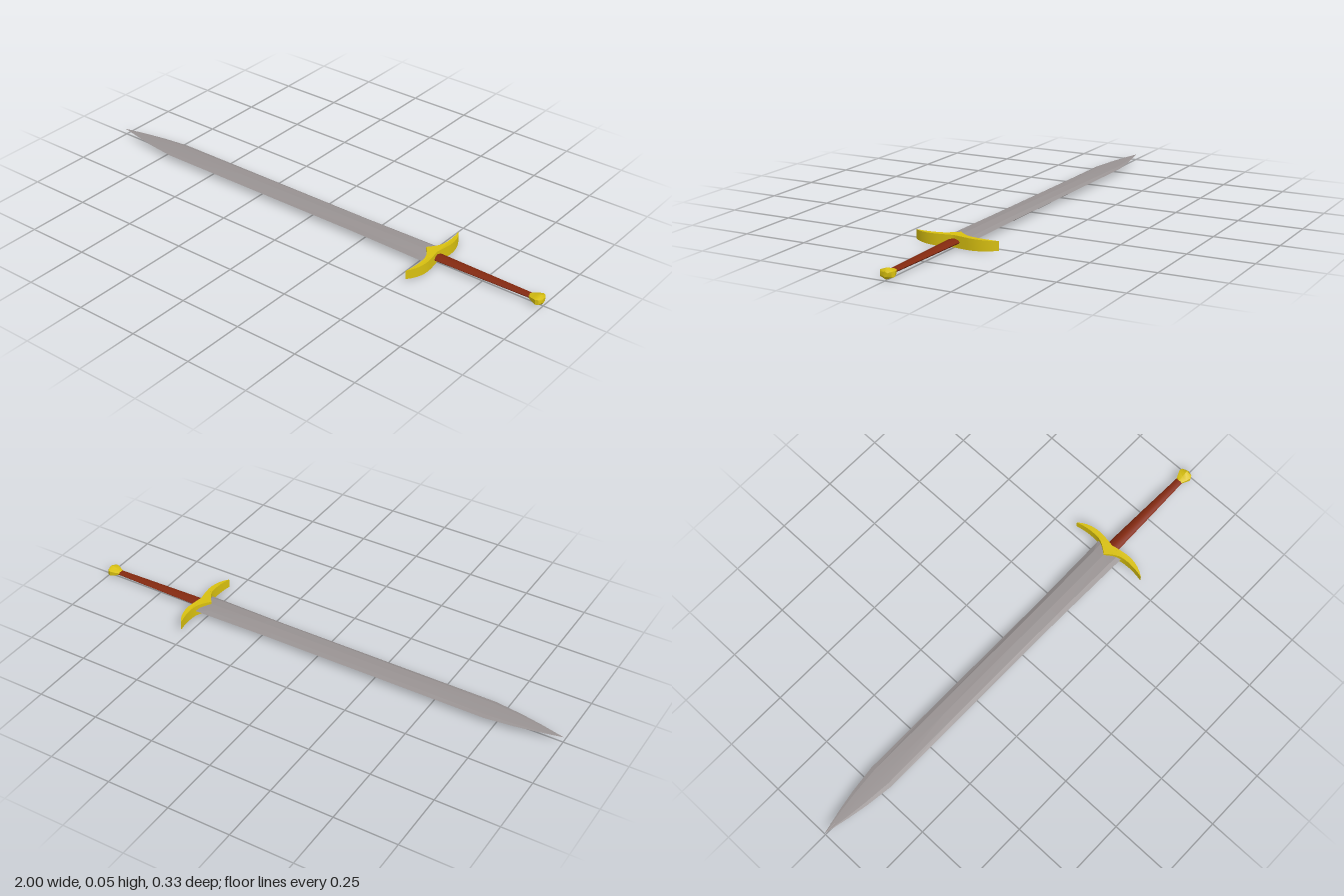
import * as THREE from 'three';
import { toCreasedNormals } from 'three/addons/utils/BufferGeometryUtils.js';

const MID = 0.024; // height of the sword's long axis

// Skins a closed unit profile [z, y] through sections [x, halfWidth, halfHeight]
function loft(profile, sections, crease) {
  const n = profile.length, pos = [];
  const P = (i, j) => {
    const [x, w, h] = sections[i], [z, y] = profile[j % n];
    return [x, MID + y * h, z * w];
  };
  for (let i = 0; i < sections.length - 1; i++) {
    for (let j = 0; j < n; j++) {
      const a = P(i, j), b = P(i + 1, j), c = P(i + 1, j + 1), d = P(i, j + 1);
      pos.push(...a, ...b, ...c, ...a, ...c, ...d);
    }
  }
  const last = sections.length - 1;
  for (let j = 0; j < n; j++) {
    pos.push(sections[0][0], MID, 0, ...P(0, j), ...P(0, j + 1));
    pos.push(sections[last][0], MID, 0, ...P(last, j + 1), ...P(last, j));
  }
  const g = new THREE.BufferGeometry();
  g.setAttribute('position', new THREE.Float32BufferAttribute(pos, 3));
  return toCreasedNormals(g, crease);
}

// Regular polygon profile
function ring(sides, turn = 0) {
  return Array.from({ length: sides }, (_, i) => {
    const a = turn + (i / sides) * Math.PI * 2;
    return [Math.cos(a), Math.sin(a)];
  });
}

export function createModel() {
  const sword = new THREE.Group();
  sword.name = 'sword';
  const steel = new THREE.MeshStandardMaterial({ color: 0x999393 });
  const gold = new THREE.MeshStandardMaterial({ color: 0xd8c010 });
  const leather = new THREE.MeshStandardMaterial({ color: 0x84290f });

  const add = (name, geometry, material) => {
    const mesh = new THREE.Mesh(geometry, material);
    mesh.name = name;
    sword.add(mesh);
  };

  // Blade: sharp edges, bevels and a low central ridge, thinning to the tip
  const bladeProfile = [
    [1, 0], [0.7, 0.74], [0, 1], [-0.7, 0.74],
    [-1, 0], [-0.7, -0.74], [0, -1], [0.7, -0.74],
  ];
  add('blade', loft(bladeProfile, [
    [-1, 0.0005, 0.0003], [-0.9, 0.023, 0.002], [-0.82, 0.038, 0.004], [-0.71, 0.052, 0.006],
    [-0.38, 0.052, 0.010], [0.2, 0.052, 0.0135], [0.49, 0.057, 0.0135], [0.54, 0.058, 0.008],
  ], 0.12), steel);

  // Guard: two curved arms meeting in a point over the blade
  const outline = new THREE.Shape();
  outline.moveTo(0.533, -0.167);
  outline.quadraticCurveTo(0.566, -0.125, 0.564, -0.07);
  outline.quadraticCurveTo(0.560, -0.03, 0.553, 0);
  outline.quadraticCurveTo(0.560, 0.03, 0.564, 0.07);
  outline.quadraticCurveTo(0.566, 0.125, 0.533, 0.167);
  outline.quadraticCurveTo(0.548, 0.11, 0.541, 0.06);
  outline.quadraticCurveTo(0.533, 0.03, 0.504, 0);
  outline.quadraticCurveTo(0.533, -0.03, 0.541, -0.06);
  outline.quadraticCurveTo(0.548, -0.11, 0.533, -0.167);
  const guard = new THREE.ExtrudeGeometry(outline, { depth: 2, bevelEnabled: false, curveSegments: 5 });
  guard.translate(0, 0, -1).rotateX(Math.PI / 2);
  const p = guard.attributes.position;
  for (let i = 0; i < p.count; i++) {
    const t = p.getZ(i) / 0.167;
    p.setY(i, MID + p.getY(i) * (0.0225 - 0.005 * t * t));
  }
  add('guard', toCreasedNormals(guard, 0.5), gold);

  // Grip: flattened, narrowing toward the pommel
  add('grip', loft(ring(8), [
    [0.54, 0.025, 0.010], [0.75, 0.020, 0.0085], [0.97, 0.014, 0.0075],
  ], 0.9), leather);

  // Pommel: six-sided flare with a low domed end
  add('pommel', loft(ring(6, Math.PI / 6), [
    [0.945, 0.014, 0.008], [0.965, 0.025, 0.013], [0.982, 0.032, 0.0195],
    [0.993, 0.026, 0.0195], [1, 0.012, 0.010],
  ], 0.6), gold);

  return sword;
}
